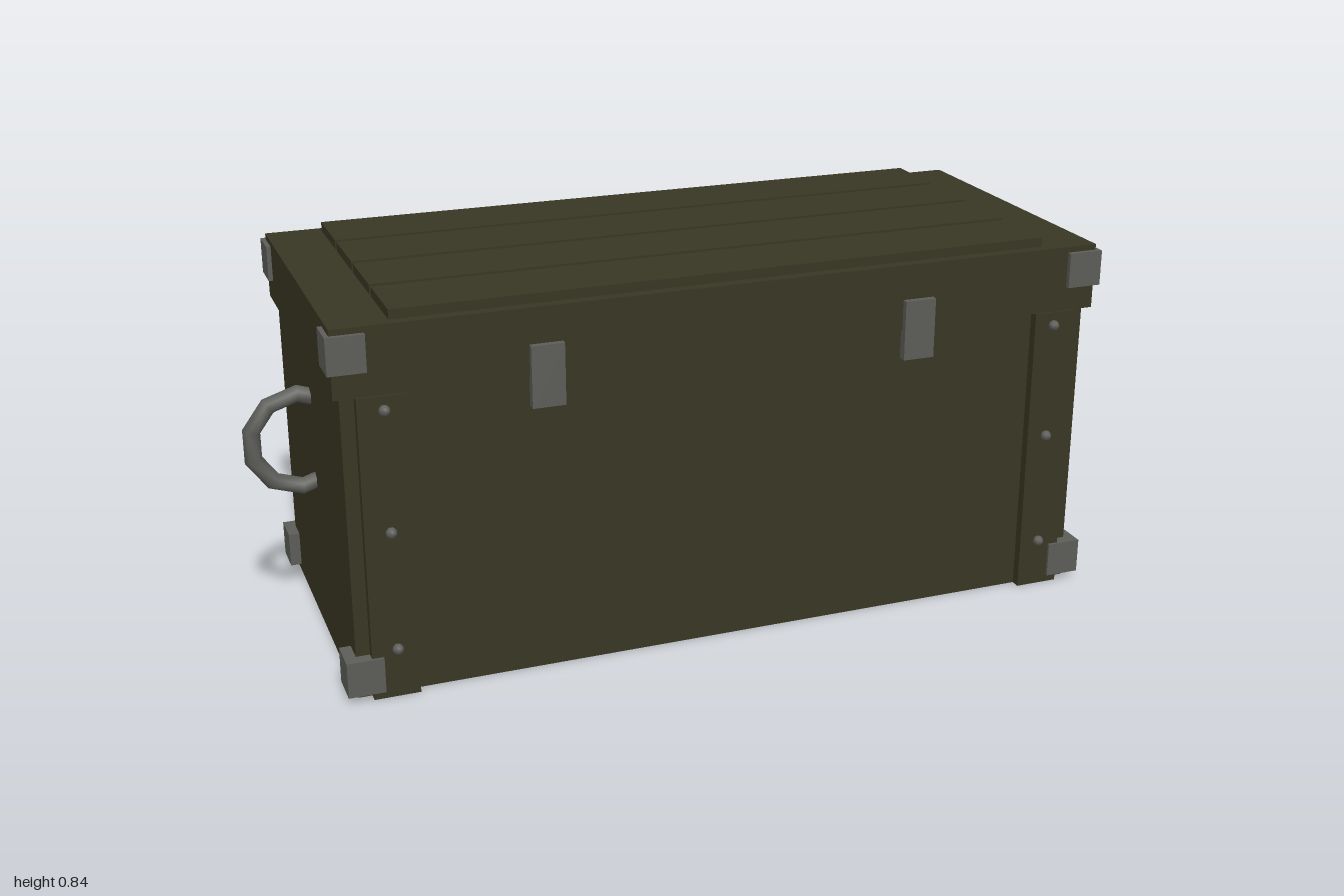
import * as THREE from 'three';

export function createModel() {
  const wood = new THREE.MeshStandardMaterial({ color: 0x383623 });
  wood.name = 'olive wood';
  const metal = new THREE.MeshStandardMaterial({ color: 0x5c5c58 });
  metal.name = 'grey metal';

  const chest = new THREE.Group();
  chest.name = 'chest';
  chest.position.z = -0.0045; // rivets stick out in front only

  const add = (name, geometry, material, x, y, z) => {
    const mesh = new THREE.Mesh(geometry, material);
    mesh.name = name;
    mesh.position.set(x, y, z);
    chest.add(mesh);
    return mesh;
  };
  const box = (name, material, w, h, d, x, y, z) =>
    add(name, new THREE.BoxGeometry(w, h, d), material, x, y, z);

  // Body and overhanging lid
  box('body', wood, 1.7, 0.675, 0.712, 0, 0.3375, 0);
  box('lid', wood, 1.73, 0.148, 0.745, 0, 0.749, 0);

  // Planks on the lid
  for (let i = 0; i < 4; i++) {
    box('lidPlank', wood, 1.48, 0.03, 0.162, 0, 0.829, (i - 1.5) * 0.178);
  }

  for (const sx of [-1, 1]) {
    for (const sz of [-1, 1]) {
      // Upright battens, front and back
      box('batten', wood, 0.1, 0.675, 0.04, sx * 0.77, 0.3375, sz * 0.3575);
      // Corner caps, top and bottom
      for (const y of [0.057, 0.77]) {
        box('cornerCap', metal, 0.08, 0.08, 0.08, sx * 0.835, y, sz * 0.3435);
      }
    }

    // Rivets on the front battens
    for (const y of [0.112, 0.378, 0.645]) {
      add('rivet', new THREE.SphereGeometry(0.0125, 8, 6), metal, sx * 0.765, y, 0.382);
    }

    // Front latches
    box('latch', metal, 0.072, 0.135, 0.02, sx * 0.4235, 0.677, 0.3765);

    // Ring handles let into the ends; one vertex ring lies straight up
    const ring = new THREE.TorusGeometry(0.108, 0.02, 6, 10);
    ring.rotateZ(Math.PI / 10);
    add('handle', ring, metal, sx * 0.878, 0.456, 0);
  }

  const model = new THREE.Group();
  model.name = 'storageChest';
  model.add(chest);
  return model;
}
